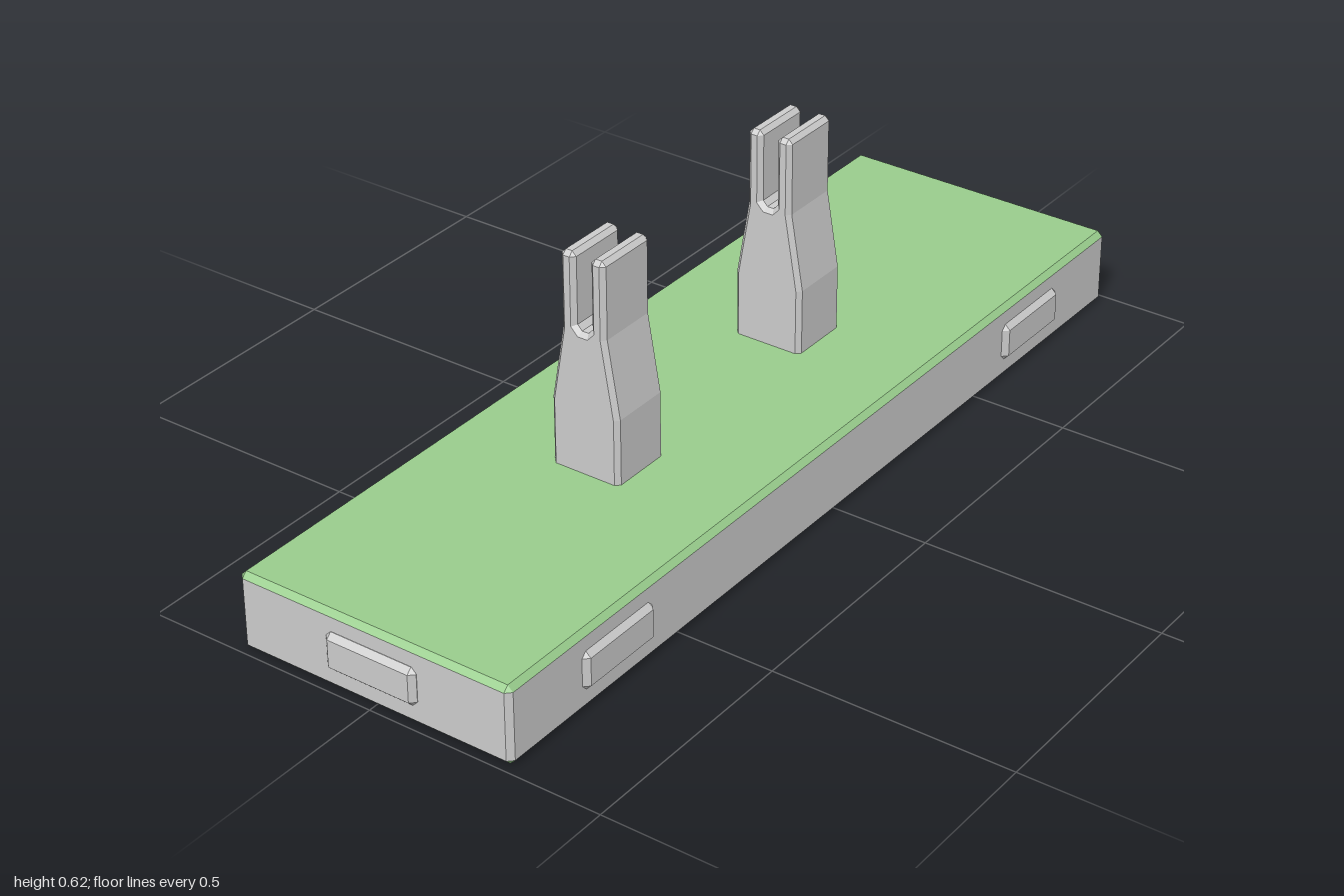
import * as THREE from 'three';

const grey = new THREE.MeshStandardMaterial({ color: 0xcccccc, flatShading: true });
const green = new THREE.MeshStandardMaterial({ color: 0x98cc8c, flatShading: true });

// Grow an inset contour (counter-clockwise) by c: sharp corners become chamfers, gentle ones are mitred.
// Both rings hold two points per corner so that they can be lofted together.
function chamferRings(points, c) {
  const n = points.length, inner = [], outer = [];
  const normal = (a, b) => new THREE.Vector2(b.y - a.y, a.x - b.x).normalize();
  points.forEach((p, i) => {
    const n1 = normal(points[(i + n - 1) % n], p);
    const n2 = normal(p, points[(i + 1) % n]);
    const dot = n1.dot(n2);
    inner.push(p, p);
    if (dot < 0.5) {
      outer.push(p.clone().addScaledVector(n1, c), p.clone().addScaledVector(n2, c));
    } else {
      const m = n1.clone().add(n2).multiplyScalar(c / (1 + dot)).add(p);
      outer.push(m, m);
    }
  });
  return { inner, outer };
}

// Skin through rings stacked along z, with optional flat ends
function loft(levels, points, capStart, capEnd) {
  const pos = [];
  const tri = (...v) => {
    const [a, b, d] = v;
    if (a.equals(b) || b.equals(d) || d.equals(a)) return;
    v.forEach(q => pos.push(q.x, q.y, q.z));
  };
  const rings = levels.map(([ring, z]) => ring.map(p => new THREE.Vector3(p.x, p.y, z)));
  for (let l = 0; l + 1 < rings.length; l++) {
    const lo = rings[l], hi = rings[l + 1], n = lo.length;
    for (let i = 0; i < n; i++) {
      const j = (i + 1) % n;
      tri(lo[i], lo[j], hi[j]);
      tri(lo[i], hi[j], hi[i]);
    }
  }
  const at = (i, z) => new THREE.Vector3(points[i].x, points[i].y, z);
  for (const [a, b, d] of THREE.ShapeUtils.triangulateShape(points, [])) {
    const z0 = levels[0][1], z1 = levels[levels.length - 1][1];
    if (capStart) tri(at(a, z0), at(d, z0), at(b, z0));
    if (capEnd) tri(at(a, z1), at(b, z1), at(d, z1));
  }
  const g = new THREE.BufferGeometry();
  g.setAttribute('position', new THREE.Float32BufferAttribute(pos, 3));
  g.computeVertexNormals();
  return g;
}

const prismLevels = (points, h, c) => {
  const { inner, outer } = chamferRings(points, c);
  return [[inner, -h], [outer, -h + c], [outer, h - c], [inner, h]];
};
const prism = (points, h, c) => loft(prismLevels(points, h, c), points, true, true);
const rect = (w, h) => [[-w, -h], [w, -h], [w, h], [-w, h]].map(p => new THREE.Vector2(...p));

export function createModel() {
  const model = new THREE.Group();
  const add = (name, geometry, material, x = 0, y = 0, z = 0, parent = model) => {
    const mesh = new THREE.Mesh(geometry, material);
    mesh.name = name;
    mesh.position.set(x, y, z);
    parent.add(mesh);
    return mesh;
  };

  // Base slab: grey sides between green chamfered faces
  const base = new THREE.Group();
  base.name = 'base';
  model.add(base);
  const basePts = rect(0.977, 0.292), baseH = 0.0815;
  const lv = prismLevels(basePts, baseH, 0.011);
  const slab = (name, levels, s, e, material) =>
    add(name, loft(levels, basePts, s, e).rotateX(-Math.PI / 2), material, 0, baseH, 0, base);
  slab('baseBottom', lv.slice(0, 2), true, false, green);
  slab('baseSides', lv.slice(1, 3), false, false, grey);
  slab('baseTop', lv.slice(2, 4), false, true, green);

  // Raised tabs: two on each long side, one on each end
  const tab = prism(rect(0.09, 0.029), 0.03, 0.011);
  for (const s of [-1, 1]) {
    for (const x of [-0.688, 0.688]) {
      add('sideTab', tab, grey, x, 0.082, s * 0.284).rotation.y = s > 0 ? 0 : Math.PI;
    }
    add('endTab', tab, grey, s * 0.97, 0.082, 0).rotation.y = s * Math.PI / 2;
  }

  // Forked posts: one half of the inset profile (z, y), mirrored
  const half = [
    [0.067, 0.12], [0.067, 0.3], [0.04, 0.458], [0.04, 0.608],
    [0.026, 0.608], [0.026, 0.466], [0.011, 0.45],
  ];
  const profile = [...half, ...half.map(([z, y]) => [-z, y]).reverse()]
    .map(p => new THREE.Vector2(...p));
  const post = prism(profile, 0.07, 0.009).rotateY(Math.PI / 2);
  add('rightPost', post, grey, -0.311);
  add('leftPost', post, grey, 0.271);

  return model;
}
